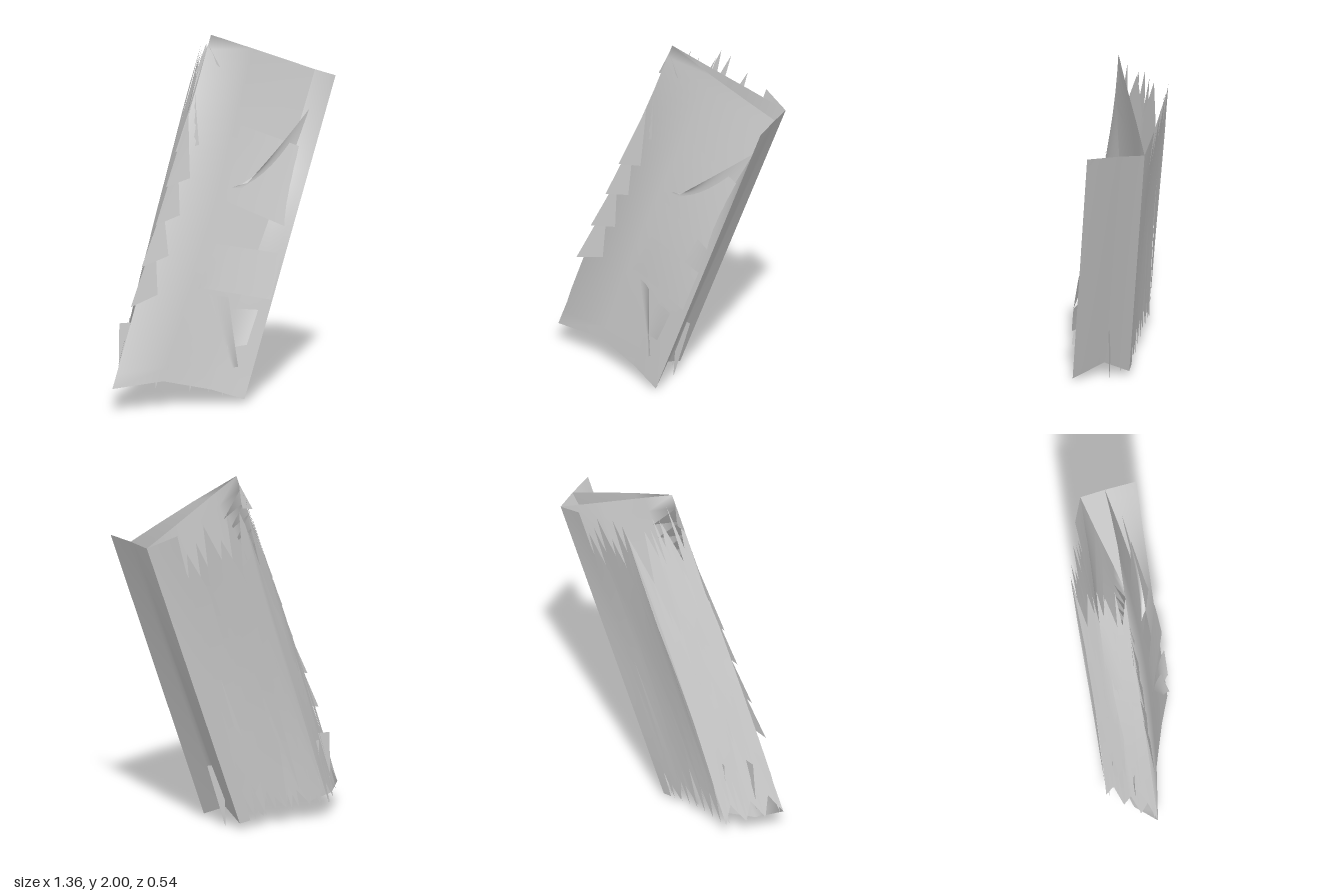
import * as THREE from 'three';

const V = (x, y, z) => new THREE.Vector3(x, y, z);
const material = new THREE.MeshStandardMaterial({ color: 0xcccccc, side: THREE.DoubleSide });

// Smooth grid surface from a function of (u, v)
function surface(name, fn, nu, nv) {
  const pos = [], index = [];
  for (let j = 0; j <= nv; j++)
    for (let i = 0; i <= nu; i++) pos.push(...fn(i / nu, j / nv).toArray());
  for (let j = 0; j < nv; j++)
    for (let i = 0; i < nu; i++) {
      const a = j * (nu + 1) + i, b = a + nu + 1;
      index.push(a, a + 1, b + 1, a, b + 1, b);
    }
  const g = new THREE.BufferGeometry();
  g.setAttribute('position', new THREE.Float32BufferAttribute(pos, 3));
  g.setIndex(index);
  g.computeVertexNormals();
  const mesh = new THREE.Mesh(g, material);
  mesh.name = name;
  return mesh;
}

// Point at t (0..1) on a polyline
function along(points, t) {
  const f = Math.min(Math.max(t, 0), 1) * (points.length - 1);
  const i = Math.min(Math.floor(f), points.length - 2);
  return points[i].clone().lerp(points[i + 1], f - i);
}

// Loft between a bottom edge and a top edge; bulge(u) pushes the middle along z
const loft = (bottom, top, bulge = () => 0) => (u, v) => {
  const p = along(bottom, u).lerp(along(top, u), v);
  p.z += bulge(u) * Math.sin(Math.PI * v);
  return p;
};

// Corners of the leaning bundle
const FL = V(-0.68, 0.13, 0.26), FR = V(0.08, 0.02, 0.26), BR = V(-0.03, 0.04, -0.03), BL = V(-0.54, 0.1, -0.03);
const topFL = V(-0.03, 2, 0.03), topFR = V(0.68, 1.73, 0.05), topBR = V(0.57, 1.73, -0.245), topBL = V(0.05, 1.93, -0.268);
const topInner = V(0.62, 1.735, -0.115);

const frontAt = loft([FL, V(-0.3, 0.15, 0.225), FR], [topFL, V(0.3, 1.868, -0.03), topInner],
  (u) => 0.05 * Math.sin(u * Math.PI * 0.65));
const rightAt = loft([FR, V(0.01, 0.1, 0.1), BR], [topFR, topInner, topBR]);
const backAt = loft([BR, V(-0.3, 0.1, -0.02), V(-0.58, 0.11, 0.08), FL],
  [topBR, V(0.37, 1.82, -0.155), V(0.17, 1.91, -0.06), topFL], (u) => -0.02 * Math.sin(Math.PI * u));
// Outer jagged layers: back from right to left, then the left side
const outerBackAt = loft([BR, V(-0.28, 0.09, -0.03), BL], [topBR, V(0.4, 1.79, -0.262), V(0.23, 1.855, -0.266), topBL],
  (u) => 0.02 * Math.sin(Math.PI * u));
const outerLeftAt = loft([BL, V(-0.62, 0.11, 0.12), FL], [topBL, V(-0.02, 1.95, -0.14), topFL], (u) => 0.02 * (1 - u));

// Zigzag between 0 and 1 with n teeth
const zigzag = (u, n) => Math.abs(((u * n) % 1) * 2 - 1);

// Splinter following a surface: pointed at both ends, widest at the peak
function splinter(name, at, u, w, v0, v1, peak, push) {
  return surface(name, (s, t) => {
    const half = w * (t < peak ? t / peak : (1 - t) / (1 - peak));
    const p = at(u + (s - 0.5) * 2 * half, v0 + (v1 - v0) * t);
    return p.addScaledVector(push, Math.sin(Math.PI * t));
  }, 2, 20);
}

export function createModel() {
  const group = new THREE.Group();
  let seed = 11;
  const rnd = () => (seed = (seed * 16807) % 2147483647) / 2147483647;

  // One smooth sheet wraps the left side and the front
  const columns = [(v) => backAt(0.5, v), (v) => backAt(0.75, v), (v) => frontAt(0, v),
    (v) => frontAt(0.4, v), (v) => frontAt(0.75, v), (v) => frontAt(1, v)];
  group.add(surface('wrapSheet', (u, v) => columns[Math.round(u * 5)](v), 5, 24));
  group.add(surface('rightSheet', rightAt, 12, 24));
  // Back sheet with a toothed lower rim
  group.add(surface('backSheet', (u, v) => backAt(u * 0.5, v + (1 - v) * 0.08 * (1 - zigzag(u, 3))), 24, 24));
  // Wide panel behind the right back corner
  group.add(surface('backPanel', (s, t) => outerBackAt(s * (0.12 + 0.21 * t), t), 8, 24));
  // Outer left sheet with toothed rims
  group.add(surface('leftSheet', (u, v) => outerLeftAt(u,
    (1 - v) * 0.06 * (1 - zigzag(u, 3)) + v * (0.78 + 0.17 * zigzag(u, 3))), 24, 24));

  // Panels lying over the right part of the front: corners in (across, along)
  const panels = [
    [[0.45, 0.775], [1, 0.77], [1, 0.53], [0.45, 0.55]],
    [[0.5, 0.59], [0.6, 0.62], [1, 0.89], [1, 0.65]],
    [[0.45, 0.28], [1, 0.31], [1, 0.45], [0.5, 0.42]],
    [[0.55, 0.27], [0.68, 0.28], [0.88, 0.09], [0.86, 0.08]],
    [[0.75, 0.25], [0.92, 0.27], [0.9, 0.16], [0.78, 0.13]],
  ];
  panels.forEach((c, k) => group.add(surface('frontPanel', (s, t) => {
    const mix = (i) => (c[0][i] * (1 - s) + c[1][i] * s) * (1 - t) + (c[3][i] * (1 - s) + c[2][i] * s) * t;
    const p = frontAt(mix(0), mix(1));
    p.z += 0.004 + 0.002 * k + 0.03 * s * s;
    return p;
  }, 10, 10)));

  // Panel corners that stand out along the left front edge: tip, then reach along the edge
  for (const [x, y, z, reach] of [[-0.565, 0.57, 0.235, 0.2], [-0.49, 0.78, 0.2, 0.17], [-0.4, 1, 0.175, 0.2],
    [-0.33, 1.2, 0.145, 0.2], [-0.26, 1.38, 0.1, 0.17], [-0.125, 1.8, 0.04, 0.08]]) {
    const tip = V(x, y, z), v = (y - 0.13) / 1.87;
    group.add(surface('edgeFin', (s, t) =>
      tip.clone().lerp(frontAt(0.15 * s, v + reach * (1 - s) + 0.03 * s), t), 8, 8));
  }

  // Long splinters layered over the back, some broad at the top, some at the bottom
  for (let i = 0; i < 16; i++) {
    const u = 0.06 + 0.92 * (i / 15), tall = i % 2 === 1;
    group.add(splinter('backSplinter', outerBackAt, u, 0.08 + 0.05 * rnd(),
      tall ? 0.12 * rnd() : 0, tall ? 0.9 + 0.1 * rnd() : 0.65 + 0.25 * rnd(),
      tall ? 0.75 + 0.1 * rnd() : 0.12 + 0.2 * rnd(), V(0, 0, 0.02 * rnd())));
  }
  // Splinters along the left side
  for (let i = 0; i < 10; i++) {
    const v0 = (i % 3) * 0.14 * rnd();
    group.add(splinter('leftSplinter', outerLeftAt, 0.06 + 0.88 * (i / 9), 0.12 + 0.08 * rnd(),
      v0, Math.min(0.98, v0 + 0.6 + 0.38 * rnd()), 0.2 + 0.6 * rnd(), V(-0.015, 0, 0)));
  }
  // Flap that closes the front right corner
  group.add(surface('cornerFlap', (s, t) => {
    const p = FR.clone().lerp(topFR, t);
    return p.lerp(frontAt(1 - 0.3 * (1 - t), t), s);
  }, 4, 20));

  // Short points hanging from the bottom rim
  for (const [x, y, z] of [[-0.35, 0.06, 0.03], [-0.18, 0.04, 0.1], [-0.04, 0.02, 0.02],
    [0.02, 0, 0.07], [-0.6, 0.1, 0.14], [-0.5, 0.1, 0.02]]) {
    group.add(surface('rimPoint', (s, t) =>
      V(x + 0.06 * t + (s - 0.5) * 0.1 * t, y + 0.36 * t, z - 0.02 * t), 2, 4));
  }
  return group;
}
